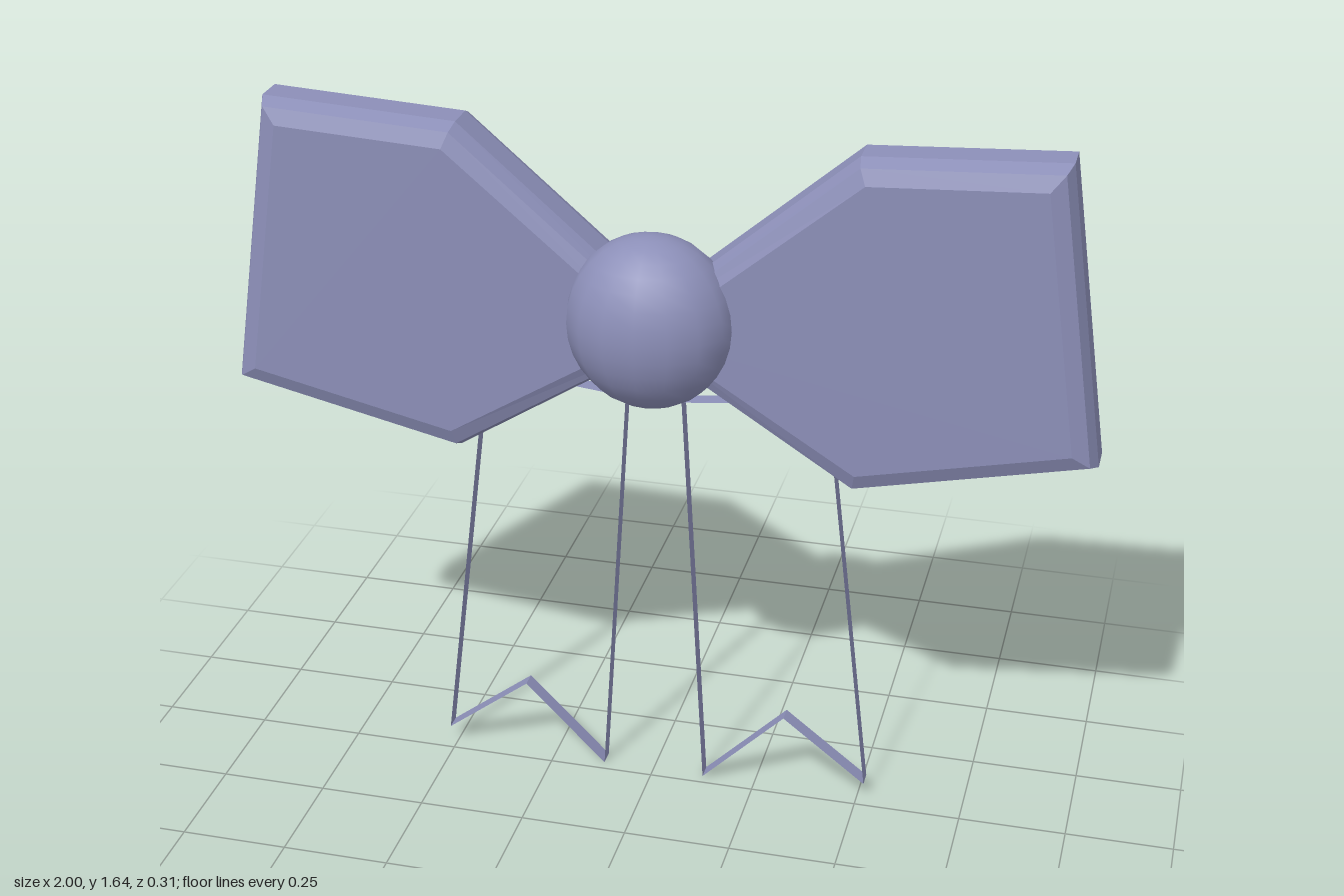
import * as THREE from 'three';

const slate = new THREE.MeshStandardMaterial({ color: 0x8c8fb8, side: THREE.DoubleSide });
slate.name = 'slate lavender';

// Outlines of the model's left half, mirrored for the right
const WING = [[0, 1.17], [0.47, 0.88], [0.944, 0.985], [0.855, 1.585], [0.469, 1.564]];
const TAIL = [[0.065, 0.995], [0.123, 0], [0.318, 0.195], [0.516, 0.042], [0.397, 1.03]];

const mirrored = (points, side) => points.map(([x, y]) => new THREE.Vector2(x * side, y));

// Thick bow loop with rounded edges
function wingGeometry(side) {
  const geometry = new THREE.ExtrudeGeometry(new THREE.Shape(mirrored(WING, side)), {
    depth: 0.074, bevelThickness: 0.05, bevelSize: 0.05, bevelSegments: 2,
  });
  return geometry.translate(0, 0, -0.106);
}

// Ribbon tail: an open band that follows the outline, without front or back
function tailGeometry(side) {
  const front = -0.026, back = -0.066;
  const points = mirrored(TAIL, side);
  const positions = [];
  points.forEach((a, i) => {
    const b = points[(i + 1) % points.length];
    const corners = [[a, front], [a, back], [b, back], [a, front], [b, back], [b, front]];
    if (side < 0) corners.reverse();
    for (const [p, z] of corners) positions.push(p.x, p.y, z);
  });
  const geometry = new THREE.BufferGeometry();
  geometry.setAttribute('position', new THREE.Float32BufferAttribute(positions, 3));
  geometry.computeVertexNormals();
  return geometry;
}

export function createModel() {
  const model = new THREE.Group();
  model.name = 'bow';

  const add = (name, geometry) => {
    const mesh = new THREE.Mesh(geometry, slate);
    mesh.name = name;
    model.add(mesh);
    return mesh;
  };

  for (const [label, side] of [['left', 1], ['right', -1]]) {
    add(label + 'Loop', wingGeometry(side));
    add(label + 'Tail', tailGeometry(side));
  }

  // Egg-shaped centre knot
  const knot = add('knot', new THREE.SphereGeometry(1, 16, 16));
  knot.scale.set(0.192, 0.202, 0.157);
  knot.position.set(0, 1.2, 0);

  return model;
}
